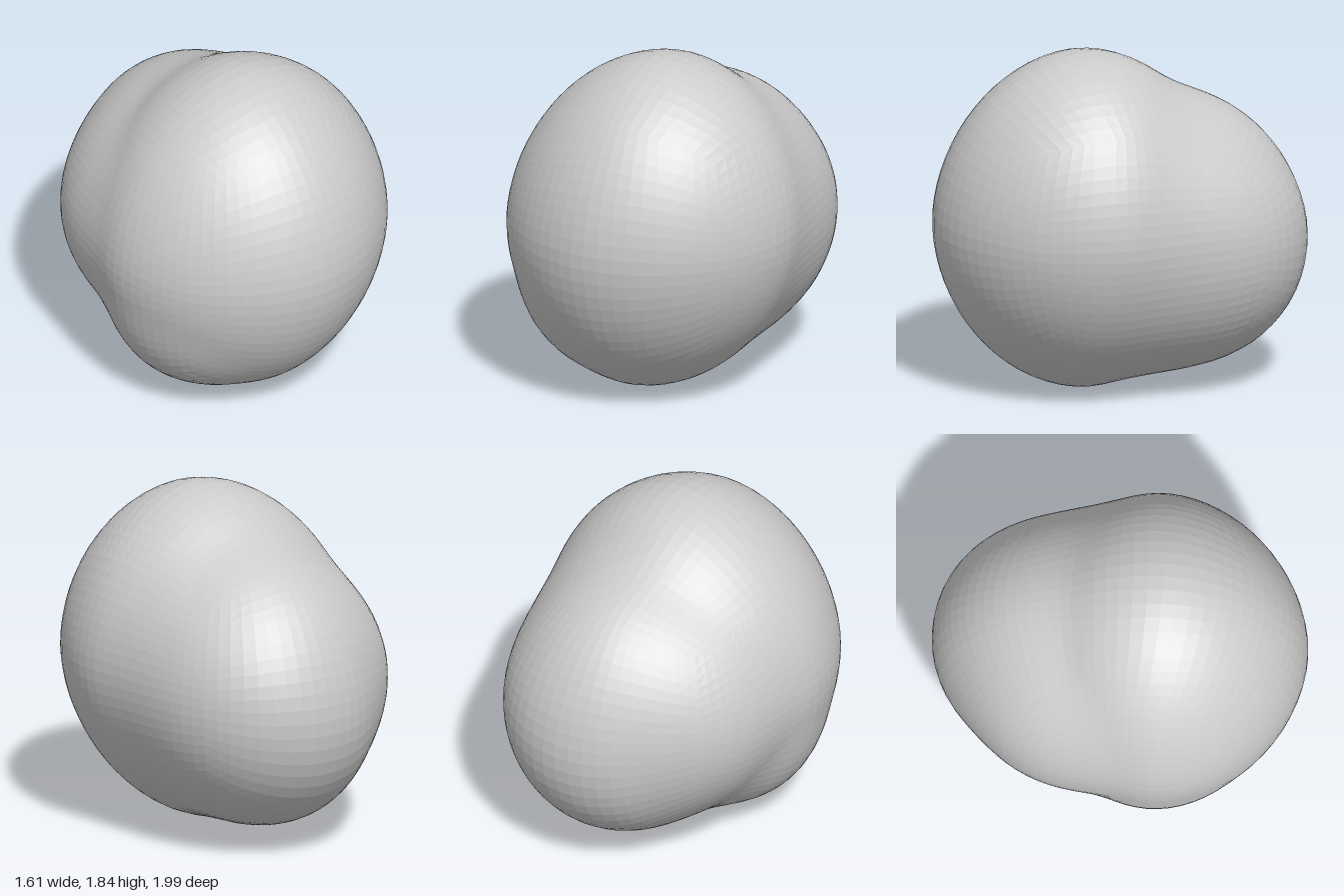
import * as THREE from 'three';

// Soft lobes that melt together: centre, radii, roundness exponent
const lobes = [
  { c: [0, 0.92, 0.2], r: [0.805, 0.92, 0.8], p: 1.87 },      // large front mass
  { c: [0.09, 0.78, -0.42], r: [0.58, 0.64, 0.57], p: 2 },    // back lobe
  { c: [0, 0.98, -0.35], r: [0.4, 0.46, 0.42], p: 2 },        // sloping shoulder
  { c: [-0.24, 0.88, -0.25], r: [0.42, 0.46, 0.42], p: 2 },   // right flank
  { c: [-0.25, 0.55, 0.2], r: [0.36, 0.37, 0.38], p: 2 },     // low right bulge
];
const BLEND = 0.52;

// Blended lobe distance: below 1 inside the body
function field(x, y, z) {
  const sx = x - 0.05 * (y - 0.92); // slight lean
  let near = 10;
  for (const { c, r, p } of lobes) {
    const sum = (Math.abs(sx - c[0]) / r[0]) ** p + (Math.abs(y - c[1]) / r[1]) ** p + (Math.abs(z - c[2]) / r[2]) ** p;
    const d = sum ** (1 / p);
    const h = Math.max(BLEND - Math.abs(near - d), 0) / BLEND;
    near = Math.min(near, d) - (h * h * BLEND) / 4;
  }
  return near;
}

// Distance from the core to the surface along a direction
function reach(core, dir) {
  let lo = 0, hi = 2;
  for (let i = 0; i < 30; i++) {
    const m = (lo + hi) / 2;
    if (field(core.x + dir.x * m, core.y + dir.y * m, core.z + dir.z * m) < 1) lo = m;
    else hi = m;
  }
  return lo;
}

export function createModel() {
  const group = new THREE.Group();
  const core = new THREE.Vector3(0, 0.88, 0);

  // A gridded cube pushed out to the blended surface
  const geo = new THREE.BoxGeometry(2, 2, 2, 20, 20, 20);
  const pos = geo.attributes.position;
  const v = new THREE.Vector3();
  const even = (t) => Math.tan((t * Math.PI) / 4);
  for (let i = 0; i < pos.count; i++) {
    v.fromBufferAttribute(pos, i);
    v.set(even(v.x), even(v.y), even(v.z)).normalize();
    v.multiplyScalar(reach(core, v)).add(core);
    pos.setXYZ(i, v.x, v.y, v.z);
  }
  geo.computeVertexNormals();

  const body = new THREE.Mesh(geo, new THREE.MeshStandardMaterial({ color: 0xcccccc, flatShading: true }));
  body.name = 'blobBody';
  group.add(body);
  return group;
}
